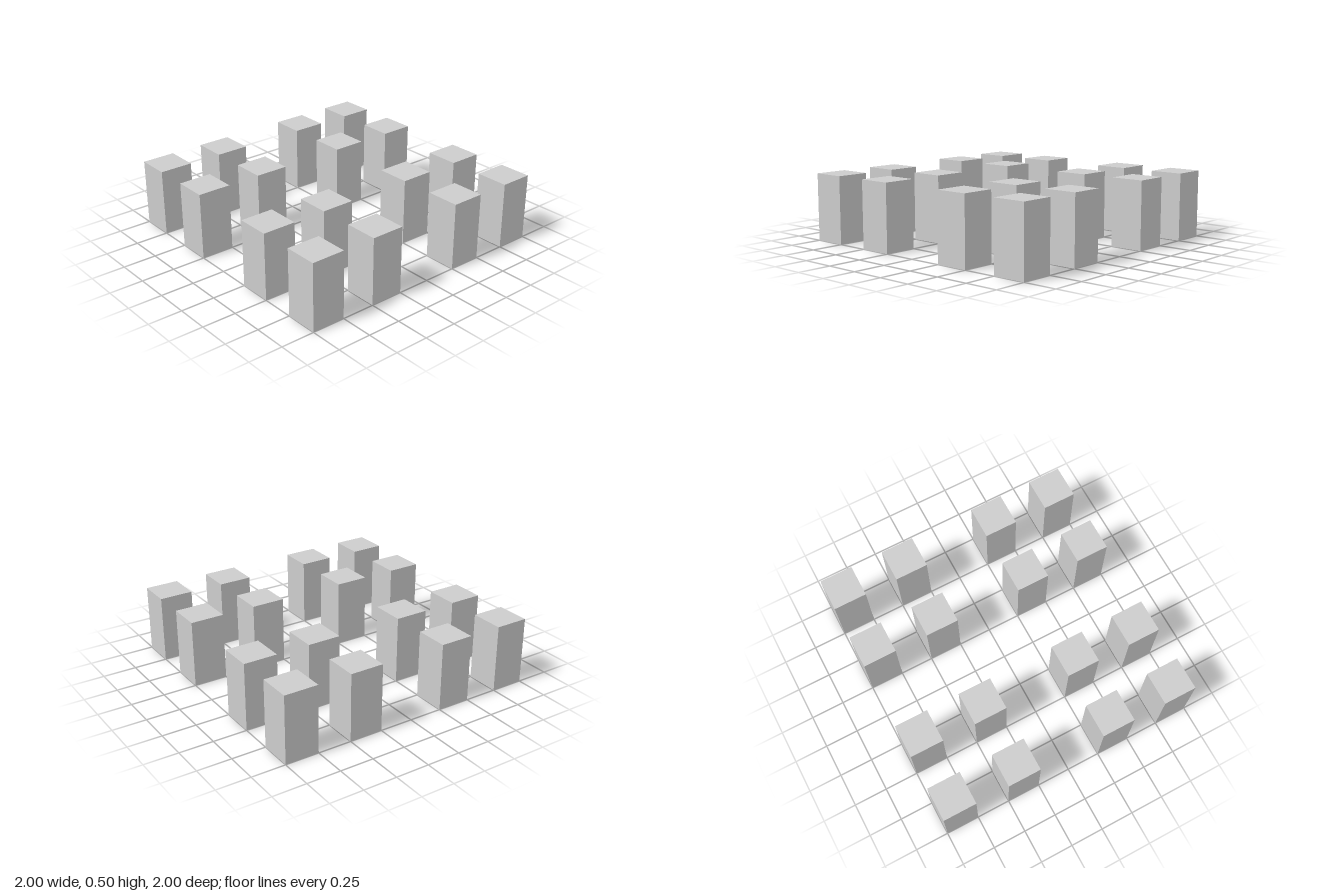
import * as THREE from 'three';

export function createModel() {
  const model = new THREE.Group();
  model.name = 'blockGrid';

  const lightGrey = new THREE.MeshStandardMaterial({ color: 0xcccccc });
  lightGrey.name = 'lightGrey';

  // One upright block, standing on y = 0
  const width = 0.25, height = 0.5;
  const block = new THREE.BoxGeometry(width, height, width).translate(0, height / 2, 0);

  // Four by four blocks, with a wider aisle through the middle both ways
  const centres = [-0.875, -0.375, 0.375, 0.875];
  centres.forEach((z, row) => {
    centres.forEach((x, column) => {
      const mesh = new THREE.Mesh(block, lightGrey);
      mesh.name = `blockRow${row + 1}Column${column + 1}`;
      mesh.position.set(x, 0, z);
      model.add(mesh);
    });
  });

  return model;
}
